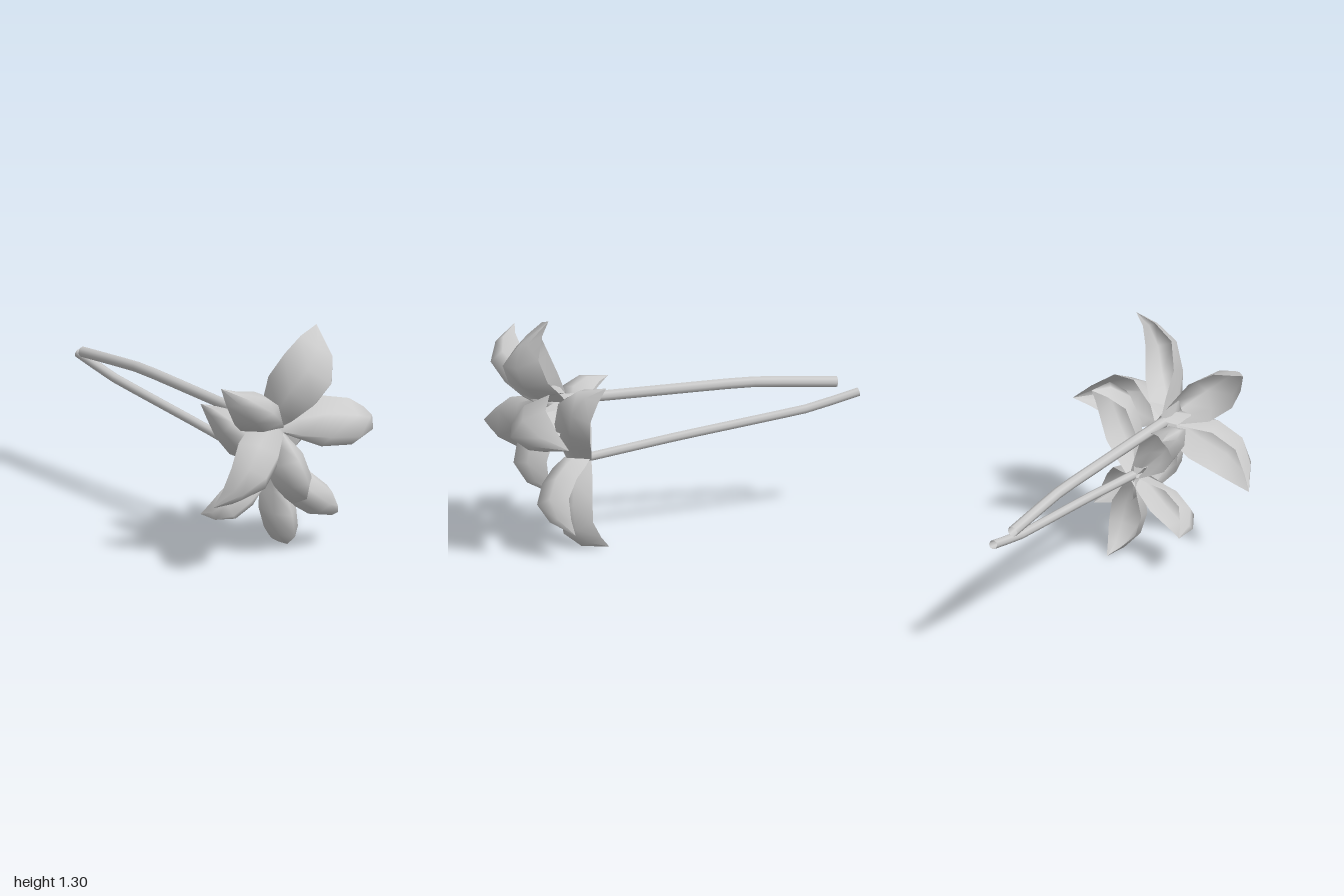
import * as THREE from 'three';

const material = new THREE.MeshStandardMaterial({ color: 0xcccccc, side: THREE.DoubleSide });

// Petal stations: [along, half width, rib height, edge height], in petal lengths
const STATIONS = [
  [0, 0.035, 0.25, 0], [0.2, 0.115, 0.38, 0.045], [0.42, 0.205, 0.46, 0.11],
  [0.68, 0.185, 0.47, 0.15], [0.87, 0.085, 0.3, 0.08], [1, 0, 0, 0],
];
// Cross-section: [sideways share, share of the rib height]
const SECTION = [[-1, 0], [-0.72, 0.62], [0, 1], [0.72, 0.62], [1, 0]];

// Cupped petal from root to tip, bulging towards +z. Roll turns it clockwise about its axis,
// skew slides the rib clockwise over the edges, and lean slides it towards the tip.
function petal(root, tip, roll, skew, lean) {
  const u = tip.clone().sub(root);
  const length = u.length();
  u.normalize();
  const forward = new THREE.Vector3(0, 0, 1);
  forward.addScaledVector(u, -forward.z * u.z).normalize();
  const f = forward.clone().applyAxisAngle(u, roll);
  const s = new THREE.Vector3().crossVectors(u, f);
  const cols = SECTION.length;
  const positions = [], indices = [];
  STATIONS.forEach(([t, w, rib, edge], i) => {
    const depth = rib - edge;
    SECTION.forEach(([side, share], j) => {
      // each section pivots part way up its depth
      const rise = (share - 0.4) * depth;
      const p = root.clone()
        .addScaledVector(u, (t + lean * t * share * depth) * length)
        .addScaledVector(forward, (edge + 0.4 * depth) * length)
        .addScaledVector(s, (side * w + skew * t * rise) * length)
        .addScaledVector(f, rise * length);
      positions.push(p.x, p.y, p.z);
      if (i < STATIONS.length - 1 && j < cols - 1) {
        const a = i * cols + j, b = a + cols;
        indices.push(a, a + 1, b, a + 1, b + 1, b);
      }
    });
  });
  const geometry = new THREE.BufferGeometry();
  geometry.setAttribute('position', new THREE.Float32BufferAttribute(positions, 3));
  geometry.setIndex(indices);
  geometry.computeVertexNormals();
  const mesh = new THREE.Mesh(geometry, material);
  mesh.name = 'petal';
  return mesh;
}

// Hollow stem, open at both ends
function stem(points, radius) {
  const curve = new THREE.CatmullRomCurve3(
    points.map(p => new THREE.Vector3(...p)), false, 'catmullrom', 0.15);
  const mesh = new THREE.Mesh(new THREE.TubeGeometry(curve, 10, radius, 8), material);
  mesh.name = 'stem';
  return mesh;
}

function flower(name, { centre, petals, path, radius }) {
  const group = new THREE.Group();
  group.name = name;
  const root = new THREE.Vector3(...centre);
  for (const [x, y, z, ...shape] of petals) {
    group.add(petal(root, new THREE.Vector3(x, y, z), ...shape));
  }
  group.add(stem(path, radius));
  return group;
}

export function createModel() {
  const model = new THREE.Group();
  model.name = 'flowers';
  model.add(
    flower('upperFlower', {
      centre: [-0.1, 0.78, 0.6],
      petals: [ // tip, roll, skew, lean
        [0.16, 1.305, 0.75, -0.15, 0.9, 0], [-0.505, 1.09, 0.81, 0, 0.4, 0],
        [-0.55, 0.42, 0.8, 0, 0.25, 0], [0.04, 0.295, 0.7, 0, -0.2, 0.25],
        [0.55, 0.7, 0.71, 0.2, 0, 0],
      ],
      path: [[-0.11, 0.775, 0.63], [-0.13, 0.78, 0.3], [-0.18, 0.79, -0.4], [-0.22, 0.75, -0.885]],
      radius: 0.03,
    }),
    flower('lowerFlower', {
      centre: [0, 0.47, 0.49],
      petals: [
        [0.36, 0.16, 0.64, 0, 0, 0.15], [0.105, 0.005, 0.41, 0, 0, 0.3],
        [-0.365, 0.24, 0.42, 0, 0, 0.35], [-0.31, 0.83, 0.34, 0, 0, 0.3],
        [0.235, 0.935, 0.45, 0, 0, 0.45],
      ],
      path: [[0, 0.48, 0.5], [-0.055, 0.55, 0], [-0.135, 0.635, -0.7], [-0.172, 0.702, -0.995]],
      radius: 0.025,
    }),
  );
  return model;
}
